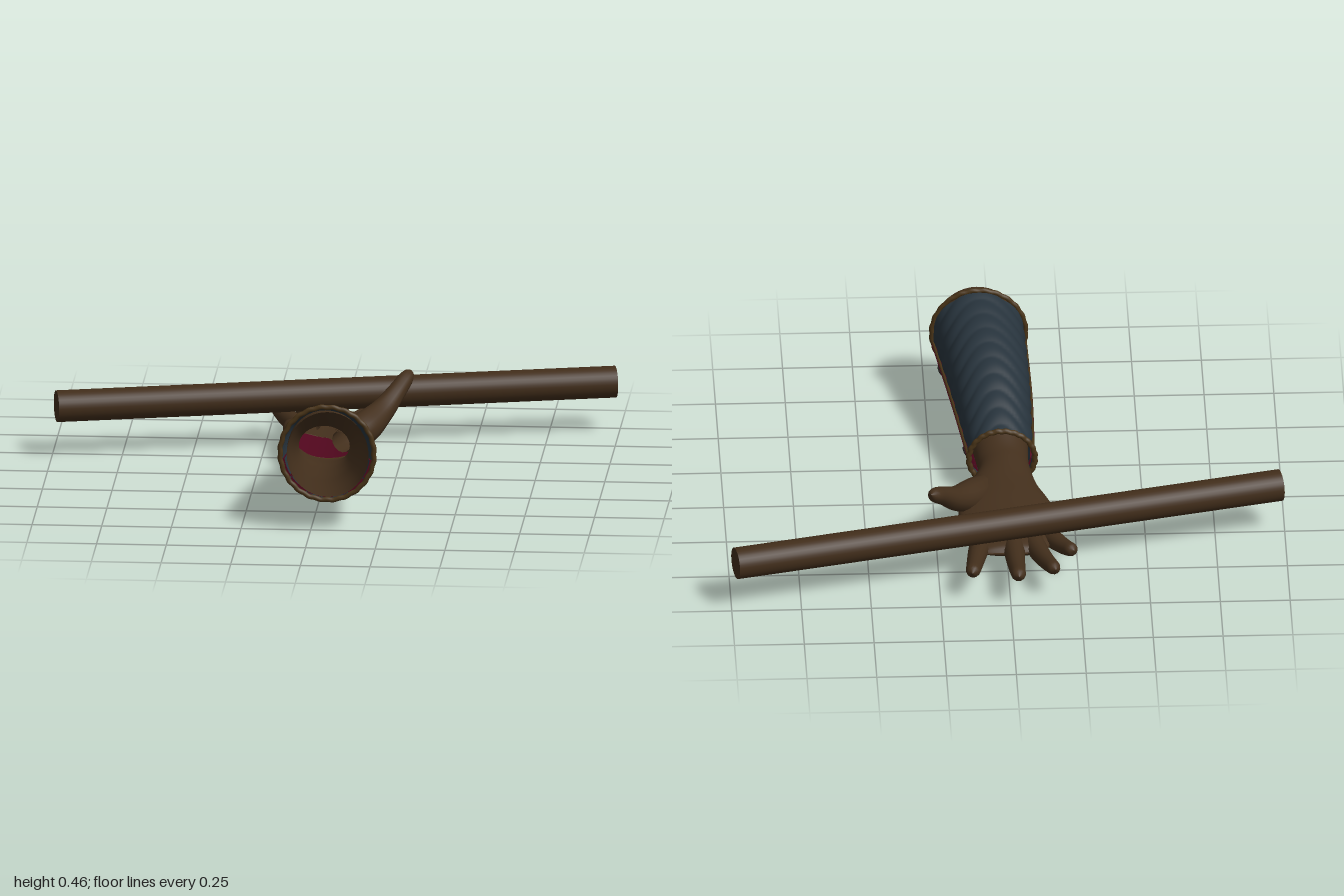
import * as THREE from 'three';
import { mergeVertices, toCreasedNormals } from 'three/addons/utils/BufferGeometryUtils.js';

const V = (x, y, z) => new THREE.Vector3(x, y, z);
const rad = THREE.MathUtils.degToRad;
const paint = (name, color) => {
  const m = new THREE.MeshStandardMaterial({ color, side: THREE.DoubleSide });
  m.name = name;
  return m;
};
const spline = (pts, closed = false) => new THREE.CatmullRomCurve3(pts, closed, 'catmullrom', 0.5);

// Smooth normals across seams
function smooth(geo) {
  geo.deleteAttribute('uv');
  geo.deleteAttribute('normal');
  const g = mergeVertices(geo, 1e-5);
  g.computeVertexNormals();
  return g;
}

// Grid surface from a rule fn(u, v) -> point
function surface(fn, nu, nv) {
  const g = new THREE.PlaneGeometry(1, 1, nu, nv);
  const p = g.attributes.position;
  for (let i = 0; i < p.count; i++) {
    const q = fn(p.getX(i) + 0.5, p.getY(i) + 0.5);
    p.setXYZ(i, q.x, q.y, q.z);
  }
  return smooth(g);
}

// Elliptical body through rows of [z, cx, cy, rx, ry]; returns (angle, t, offset) -> point
function body(rows) {
  const axis = spline(rows.map(([z, x, y]) => V(x, y, z)));
  const size = spline(rows.map(r => V(r[3], r[4], 0)));
  return (a, t, off = 0) => {
    const c = axis.getPoint(t), s = size.getPoint(t);
    return V(c.x + Math.cos(a) * (s.x + off), c.y + Math.sin(a) * (s.y + off), c.z);
  };
}

// Tapered limb with a rounded tip; points are [x, y, z, radius]
function limb(pts) {
  const n = 28, sides = 14;
  const path = spline(pts.map(p => V(p[0], p[1], p[2])));
  const radii = spline(pts.map(p => V(p[3], 0, 0)));
  const g = new THREE.TubeGeometry(path, n, 1, sides);
  const p = g.attributes.position, q = V(0, 0, 0);
  for (let i = 0; i < p.count; i++) {
    const t = Math.floor(i / (sides + 1)) / n, c = path.getPointAt(t);
    const tip = Math.max(0, (t - 0.88) / 0.12);
    const r = radii.getPoint(path.getUtoTmapping(t)).x * Math.sqrt(Math.max(0.0004, 1 - tip * tip));
    q.fromBufferAttribute(p, i).sub(c).multiplyScalar(r).add(c);
    p.setXYZ(i, q.x, q.y, q.z);
  }
  return smooth(g);
}

export function createModel() {
  const root = new THREE.Group();
  root.name = 'armoredArmWithStaff';
  const skin = paint('brown skin', 0x432f1c);
  const wood = paint('brown wood', 0x412d1a);
  const cloth = paint('slate blue cloth', 0x27333c);
  const red = paint('dark red plate', 0x50071d);
  const trim = paint('bronze trim', 0x483317);
  const dark = paint('dark fittings', 0x201c1a);
  const add = (name, geo, mat, parent = root) => {
    const m = new THREE.Mesh(geo, mat);
    m.name = name;
    parent.add(m);
    return m;
  };
  const group = name => {
    const g = new THREE.Group();
    g.name = name;
    root.add(g);
    return g;
  };

  // Staff lying across the open palm
  const a = V(-0.985, 0.187, -0.231), b = V(0.985, 0.187, -0.723);
  const staff = add('staff', new THREE.CylinderGeometry(0.057, 0.057, a.distanceTo(b), 32), wood);
  staff.position.copy(a).lerp(b, 0.5);
  staff.quaternion.setFromUnitVectors(V(0, 1, 0), b.clone().sub(a).normalize());

  // Palm, wrist and hollow forearm
  const arm = body([
    [-0.53, -0.015, 0.096, 0.09, 0.004], [-0.5, -0.015, 0.096, 0.125, 0.026],
    [-0.4, -0.015, 0.099, 0.16, 0.039], [-0.3, -0.005, 0.102, 0.172, 0.048],
    [-0.2, 0, 0.109, 0.163, 0.057], [-0.1, 0.005, 0.116, 0.128, 0.064],
    [0, -0.005, 0.128, 0.095, 0.07], [0.08, 0, 0.137, 0.094, 0.08],
    [0.24, 0.012, 0.175, 0.11, 0.108], [0.41, 0.025, 0.223, 0.126, 0.133],
    [0.6, 0.045, 0.263, 0.14, 0.148], [0.78, 0.063, 0.295, 0.147, 0.157],
  ]);
  add('palmAndForearm', surface((u, v) => arm(u * Math.PI * 2, v), 40, 66), skin);

  // Fingers and thumb
  const hand = group('fingers');
  const digits = {
    littleFinger: [[-0.125, 0.097, -0.36, 0.036], [-0.165, 0.1, -0.44, 0.034], [-0.2, 0.11, -0.51, 0.029], [-0.234, 0.13, -0.578, 0.023]],
    ringFinger: [[-0.085, 0.097, -0.42, 0.04], [-0.108, 0.099, -0.52, 0.036], [-0.135, 0.111, -0.62, 0.03], [-0.163, 0.132, -0.718, 0.024]],
    middleFinger: [[-0.02, 0.097, -0.43, 0.04], [-0.022, 0.099, -0.53, 0.037], [-0.025, 0.112, -0.65, 0.031], [-0.029, 0.135, -0.77, 0.025]],
    indexFinger: [[0.08, 0.097, -0.41, 0.042], [0.105, 0.099, -0.5, 0.037], [0.122, 0.11, -0.61, 0.031], [0.137, 0.128, -0.726, 0.025]],
    thumb: [[0.05, 0.12, -0.06, 0.04], [0.115, 0.137, -0.17, 0.06], [0.178, 0.18, -0.27, 0.045], [0.23, 0.238, -0.35, 0.033], [0.274, 0.291, -0.437, 0.025]],
  };
  for (const [name, pts] of Object.entries(digits)) add(name, limb(pts), skin, hand);

  // Cloth sleeve with shallow crossing folds
  const sleeve = body([
    [0.09, 0, 0.139, 0.107, 0.1], [0.41, 0.025, 0.222, 0.136, 0.146], [0.73, 0.058, 0.288, 0.16, 0.163],
  ]);
  const folds = (ang, t) => 0.005 * Math.abs(Math.sin(t * 28 + 1.6 * Math.sin(3 * ang)));
  add('sleeve', surface((u, v) => {
    const ang = u * Math.PI * 2;
    return sleeve(ang, v, folds(ang, v));
  }, 64, 110), cloth);

  // Twisted cord rims at both sleeve ends
  const rims = group('sleeveRims');
  for (const [t, z, off, r] of [[0, -0.006, 0.01, 0.01], [1, 0.009, 0.007, 0.009]]) {
    const loop = [...Array(48)].map((_, i) =>
      sleeve(i * Math.PI / 24, t, off + (i % 2) * 0.003).add(V(0, 0, z)));
    add('rim', new THREE.TubeGeometry(spline(loop, true), 144, r, 8, true), trim, rims);
  }

  // Long red plates under the sleeve, with raised edges closing onto the cloth
  const plates = group('forearmPlates');
  const cuts = [-8, -35, -63, -117, -145, -172];
  for (let k = 0; k < 5; k++) {
    const nu = 12, nv = 24, a0 = rad(cuts[k + 1] + 1), a1 = rad(cuts[k] - 1);
    const step = (w, n) => THREE.MathUtils.clamp((w * n - 1) / (n - 2), 0, 1);
    const g = surface((u, v) => {
      const edge = u < 0.01 || u > 0.99 || v < 0.01 || v > 0.99;
      return sleeve(a0 + (a1 - a0) * step(u, nu), 0.025 + 0.95 * step(v, nv), edge ? -0.004 : 0.014);
    }, nu, nv);
    add('plate', toCreasedNormals(g, 0.7), red, plates);
  }

  // Trim cords in the seams
  cuts.forEach((deg, i) => {
    const outer = i === 0 || i === 5;
    const line = [...Array(9)].map((_, j) => sleeve(rad(deg), 0.025 + 0.95 * j / 8, outer ? 0.008 : 0.015));
    add('seamCord', new THREE.TubeGeometry(spline(line), 24, 0.005, 6), trim, plates);
  });

  // Buckles beside each seam, with a short strap crossing it
  for (const [deg, turn] of [[-35, 8], [-63, 8], [-117, -8], [-145, -8]]) for (const t of [0.17, 0.86]) {
    const buckle = new THREE.Group();
    buckle.name = 'buckle';
    buckle.position.copy(sleeve(rad(deg + turn), t, 0.016));
    buckle.rotation.z = rad(deg + turn);
    plates.add(buckle);
    const frame = add('buckleFrame', new THREE.TorusGeometry(0.013, 0.004, 6, 14), dark, buckle);
    frame.rotation.y = Math.PI / 2;
    frame.scale.x = 1.3;
    const arc = [...Array(6)].map((_, i) => sleeve(rad(deg + turn * (1 - i * 0.45)), t, 0.016));
    add('strap', new THREE.TubeGeometry(spline(arc), 12, 0.005, 6), dark, plates);
  }

  // Curved red guard on the back of the hand
  const guard = group('handGuard');
  const bend = x => 0.035 + 2.3 * x * x;
  const soft = w => Math.sign(w) * Math.abs(w) ** 0.6;
  const g = new THREE.SphereGeometry(1, 48, 32);
  const p = g.attributes.position;
  for (let i = 0; i < p.count; i++) {
    const x = soft(p.getX(i)) * 0.132, z = soft(p.getZ(i)) * 0.142 - 0.213;
    p.setXYZ(i, x, bend(x) + THREE.MathUtils.clamp(p.getY(i) * 4, -1, 1) * 0.02, z);
  }
  add('guardPlate', smooth(g), red, guard);
  const rim = [...Array(40)].map((_, i) => {
    const t = i * Math.PI / 20, x = soft(Math.cos(t)) * 0.132;
    return V(x, bend(x) + 0.016, soft(Math.sin(t)) * 0.14 - 0.213);
  });
  add('guardCord', new THREE.TubeGeometry(spline(rim, true), 120, 0.005, 6, true), trim, guard);

  // Oval rings fixed on the guard
  for (const x of [-0.045, 0.045]) for (const z of [-0.18, -0.245]) {
    const ring = add('guardRing', new THREE.TorusGeometry(0.02, 0.006, 8, 20), trim, guard);
    ring.position.set(x, bend(x) - 0.023, z);
    ring.rotation.set(Math.PI / 2, Math.atan(-4.6 * x), 0);
  }
  return root;
}
